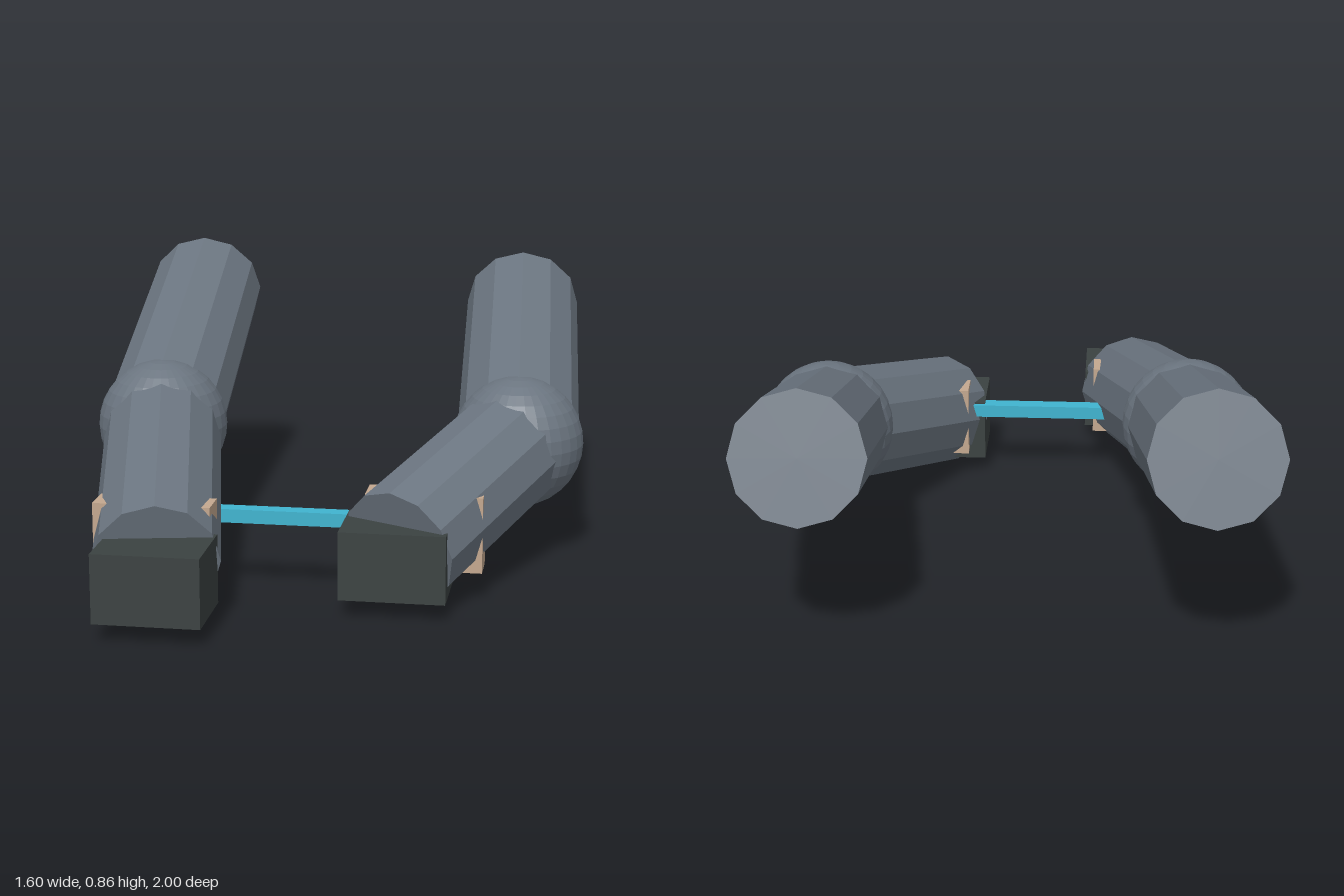
import * as THREE from 'three';

const mat = (name, color) => {
  const m = new THREE.MeshStandardMaterial({ color, flatShading: true });
  m.name = name;
  return m;
};

export function createModel() {
  const sleeve = mat('slate sleeve', 0x6b7580);
  const glove = mat('dark glove', 0x3b4241);
  const cuff = mat('tan cuff', 0xc4a88f);
  const blue = mat('blue rod', 0x40b4d0);

  const model = new THREE.Group();
  model.name = 'armPair';

  const add = (parent, name, geometry, material, position) => {
    const mesh = new THREE.Mesh(geometry, material);
    mesh.name = name;
    mesh.position.set(...position);
    parent.add(mesh);
    return mesh;
  };

  // Twelve-sided limb running from one point to another
  const limb = (parent, name, from, to, radius) => {
    const a = new THREE.Vector3(...from), b = new THREE.Vector3(...to);
    const geometry = new THREE.CylinderGeometry(radius, radius, a.distanceTo(b), 12).rotateX(Math.PI / 2);
    const mesh = add(parent, name, geometry, sleeve, a.clone().lerp(b, 0.5).toArray());
    mesh.lookAt(b);
  };

  const arms = [
    {
      name: 'rightArm', shoulder: [-0.61, 0.675, -0.945], elbow: [-0.557, 0.387, -0.01],
      wrist: [-0.387, 0.178, 0.805], hand: [-0.373, 0.153, 0.88], band: [-0.422, 0.205, 0.667],
    },
    {
      name: 'leftArm', shoulder: [0.54, 0.65, -0.945], elbow: [0.59, 0.365, -0.035],
      wrist: [0.285, 0.18, 0.573], hand: [0.279, 0.153, 0.567], band: [0.35, 0.205, 0.443],
    },
  ];

  for (const a of arms) {
    const arm = new THREE.Group();
    arm.name = a.name;
    model.add(arm);
    limb(arm, 'upperArm', a.elbow, a.shoulder, 0.194);
    add(arm, 'elbow', new THREE.SphereGeometry(0.207, 32, 16), sleeve, a.elbow);
    limb(arm, 'forearm', a.elbow, a.wrist, 0.186);
    add(arm, 'hand', new THREE.BoxGeometry(0.314, 0.206, 0.24), glove, a.hand);
    // Cuff whose corners poke out of the forearm
    add(arm, 'cuff', new THREE.BoxGeometry(0.35, 0.232, 0.102), cuff, a.band);
  }

  // Rod joining the forearms
  add(model, 'rod', new THREE.BoxGeometry(0.56, 0.042, 0.05), blue, [-0.05, 0.23, 0.46]);

  return model;
}
